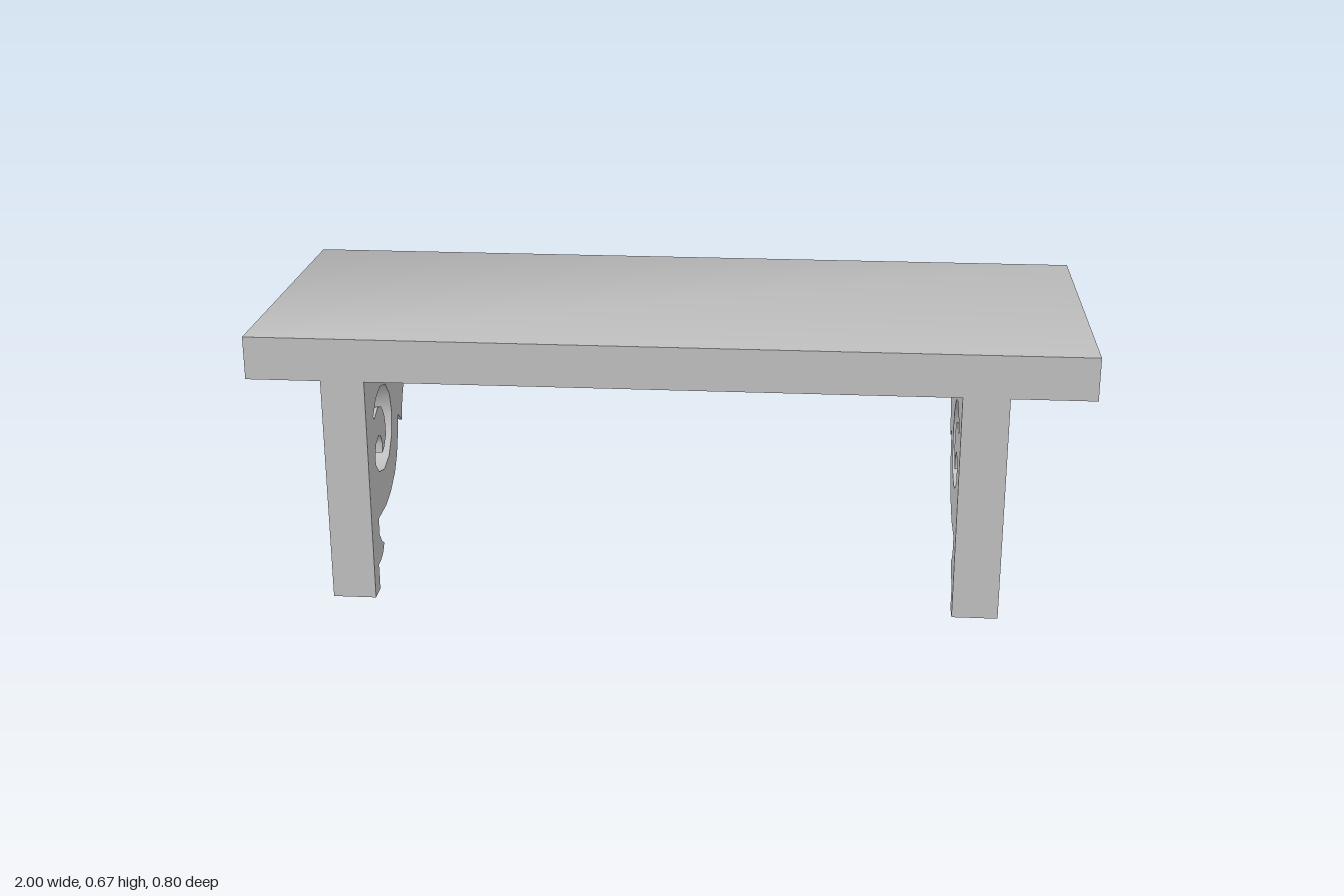
import * as THREE from 'three';
import { toCreasedNormals } from 'three/addons/utils/BufferGeometryUtils.js';

const toPoints = (list) => list.map(([s, y]) => new THREE.Vector2(s, y));

// Extrudes a side profile (s = -z, y) along x, from x0 to x1
function extrudeProfile(shape, x0, x1, crease) {
  const geometry = new THREE.ExtrudeGeometry(shape, { depth: x1 - x0, bevelEnabled: false });
  geometry.rotateY(Math.PI / 2);
  geometry.translate(x0, 0, 0);
  return toCreasedNormals(geometry, crease);
}

export function createModel() {
  const group = new THREE.Group();
  const grey = new THREE.MeshStandardMaterial({ color: 0xc0c0c0 });
  grey.name = 'plain grey';

  // Shelf board with a softened back edge
  const board = new THREE.Shape(toPoints([
    [-0.4, 0.56], [0.342, 0.559], [0.385, 0.555], [0.4, 0.573],
    [0.4, 0.647], [0.385, 0.663], [-0.4, 0.665],
  ]));
  const shelf = new THREE.Mesh(extrudeProfile(board, -1, 1, 0.95), grey);
  shelf.name = 'shelfBoard';
  group.add(shelf);

  // Bracket outline: post foot, lower scroll, big curve, notches, tip
  const bracket = new THREE.Shape(toPoints([
    [-0.4, 0], [-0.35, 0], [-0.35, 0.067], [-0.326, 0.067], [-0.298, 0.077],
    [-0.282, 0.095], [-0.305, 0.11], [-0.326, 0.136], [-0.326, 0.179], [-0.238, 0.179],
    [-0.183, 0.193], [-0.127, 0.223], [-0.094, 0.26], [-0.073, 0.305], [-0.062, 0.357],
    [-0.02, 0.327], [-0.002, 0.378], [0.022, 0.413], [0.066, 0.445], [0.113, 0.458],
    [0.155, 0.461], [0.208, 0.447], [0.189, 0.494], [0.218, 0.485], [0.246, 0.462],
    [0.287, 0.486], [0.326, 0.521], [0.342, 0.559], [-0.4, 0.56],
  ]));
  // Cut-out that leaves a curled scroll attached to the post
  bracket.holes.push(new THREE.Path(toPoints([
    [-0.326, 0.447], [-0.29, 0.48], [-0.238, 0.494], [-0.183, 0.48], [-0.143, 0.44],
    [-0.13, 0.385], [-0.145, 0.328], [-0.183, 0.289], [-0.238, 0.276], [-0.293, 0.29],
    [-0.325, 0.321], [-0.327, 0.343], [-0.312, 0.37], [-0.28, 0.38], [-0.258, 0.37],
    [-0.246, 0.347], [-0.25, 0.324], [-0.229, 0.33], [-0.204, 0.353], [-0.203, 0.38],
    [-0.212, 0.412], [-0.238, 0.441], [-0.275, 0.452], [-0.319, 0.435],
  ])));

  for (const [name, x0, x1] of [['rightBracket', -0.82, -0.715], ['leftBracket', 0.69, 0.8]]) {
    const mesh = new THREE.Mesh(extrudeProfile(bracket, x0, x1, 0.8), grey);
    mesh.name = name;
    group.add(mesh);
  }
  return group;
}
